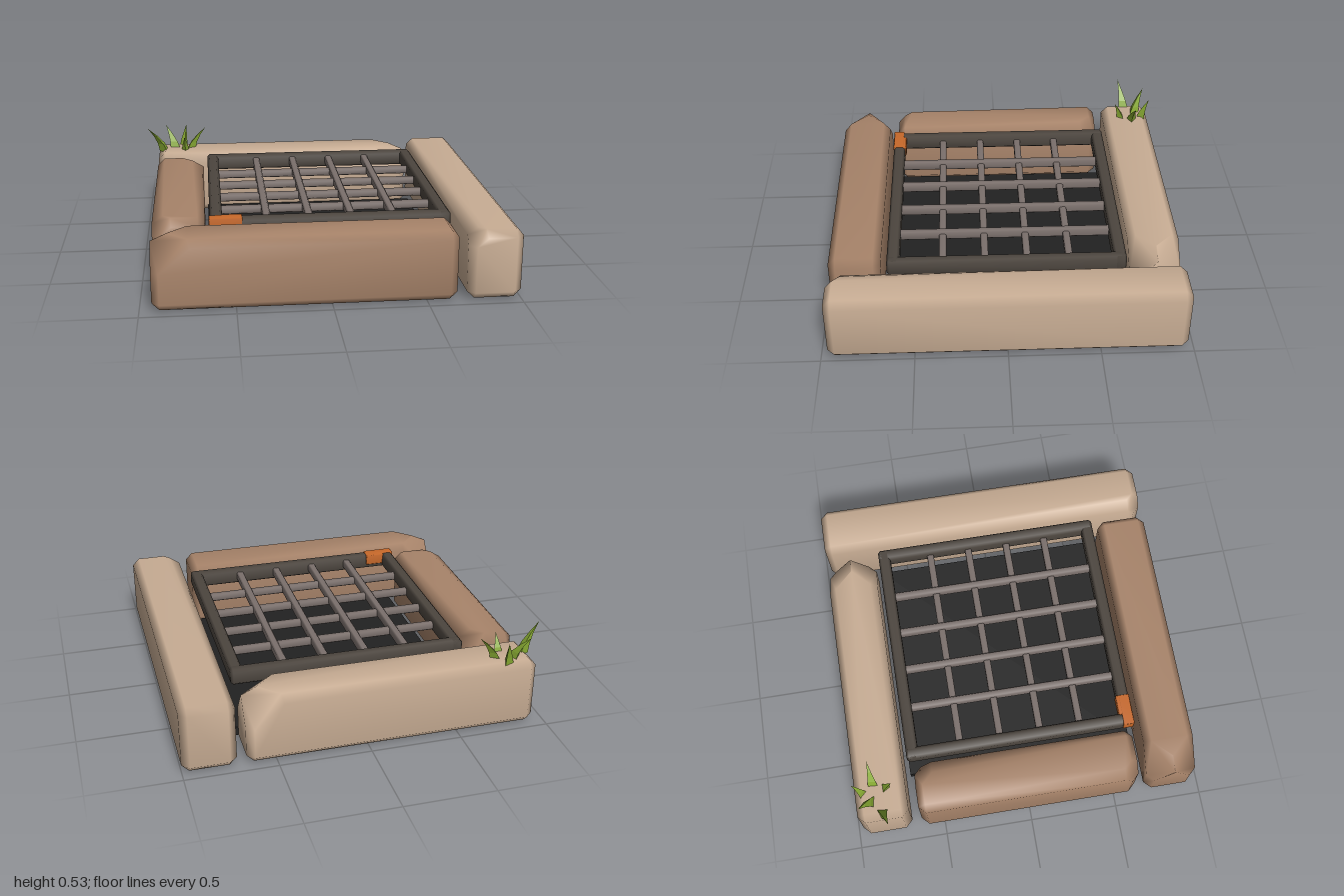
import * as THREE from 'three';
import { mergeVertices } from 'three/addons/utils/BufferGeometryUtils.js';
import { ConvexGeometry } from 'three/addons/geometries/ConvexGeometry.js';

const mat = (name, color) => new THREE.MeshStandardMaterial({ name, color });

// Bevelled block between two corners; chips maps a top corner "sx,sz" to a chip size 0..1
function block(name, material, [x0, y0, z0], [x1, y1, z1], b, chips = {}) {
  const pts = [];
  for (const sx of [-1, 1]) for (const sy of [-1, 1]) for (const sz of [-1, 1]) {
    const add = (ix, iy, iz) => pts.push(new THREE.Vector3(
      sx > 0 ? x1 - ix : x0 + ix, sy > 0 ? y1 - iy : y0 + iy, sz > 0 ? z1 - iz : z0 + iz));
    const s = sy > 0 ? chips[`${sx},${sz}`] || 0 : 0;
    if (s) {
      add(b, b + 0.135 * s, 0); add(b + 0.16 * s, b, 0);
      add(b + 0.05 * s, 0, b + 0.105 * s); add(b + 0.15 * s, 0, b);
      add(0, b + 0.135 * s, b); add(0, b, b + 0.105 * s);
    } else {
      add(b, b, 0); add(b, 0, b); add(0, b, b);
    }
  }
  // Area-weighted normals keep the faces flat and the bevels soft
  let g = new ConvexGeometry(pts);
  g.deleteAttribute('normal');
  g = mergeVertices(g, 1e-4);
  g.computeVertexNormals();
  const mesh = new THREE.Mesh(g, material);
  mesh.name = name;
  return mesh;
}

// Three-sided blade that bends from its base to its tip
function blade(material, base, tip, radius, turn) {
  let g = new THREE.ConeGeometry(radius, 1, 3, 3);
  g.rotateY(turn);
  const p = g.attributes.position;
  for (let i = 0; i < p.count; i++) {
    const t = p.getY(i) + 0.5, bend = t ** 1.5, swell = 1 + 0.5 * t * (1 - t);
    p.setXYZ(i,
      p.getX(i) * swell + base[0] + (tip[0] - base[0]) * bend,
      base[1] + (tip[1] - base[1]) * t,
      p.getZ(i) * swell + base[2] + (tip[2] - base[2]) * bend);
  }
  g = g.toNonIndexed();
  g.computeVertexNormals();
  const mesh = new THREE.Mesh(g, material);
  mesh.name = 'grassBlade';
  return mesh;
}

export function createModel() {
  const root = new THREE.Group();
  root.name = 'stoneFramedDrain';
  const lightStone = mat('lightStone', 0xc8ad94);
  const darkStone = mat('darkStone', 0xa8846a);
  const frameMetal = mat('frameMetal', 0x4d463f);
  const barMetal = mat('barMetal', 0x7c716d);
  const pitBlack = mat('pitBlack', 0x222222);
  const rust = mat('rust', 0xc8692a);
  const grass = mat('grass', 0x86a832);
  grass.flatShading = true;

  // Four kerb stones
  const T = 0.387, B = 0.04;
  root.add(
    block('leftStone', lightStone, [0.71, 0.005, -0.97], [1, T, 0.965], B, { '-1,1': 0.35 }),
    block('backStone', lightStone, [-0.935, 0.005, -0.97], [0.66, T, -0.685], B, { '1,1': 1, '1,-1': 1 }),
    block('rightStone', darkStone, [-0.935, 0.005, -0.63], [-0.65, T, 0.625], B, { '1,-1': 0.6, '-1,1': 0.4 }),
    block('frontStone', darkStone, [-0.935, 0.005, 0.68], [0.66, T, 0.965], B, { '-1,1': 1, '-1,-1': 1 }));

  // Pit floor
  const floor = new THREE.Mesh(new THREE.BoxGeometry(1.31, 0.05, 1.31), pitBlack);
  floor.name = 'pitFloor';
  floor.position.set(0.025, 0.025, -0.005);
  root.add(floor);

  // Grate: square rim, long bars, short cross bars between them
  const grate = new THREE.Group();
  grate.name = 'grate';
  grate.position.set(0.025, 0, -0.005);
  const o = 0.65, n = 0.582, y0 = 0.305, y1 = 0.393;
  for (const s of [-1, 1]) {
    const a = Math.min(s * o, s * n), c = Math.max(s * o, s * n);
    grate.add(
      block('rimSide', frameMetal, [a, y0, -o], [c, y1, o], 0.014),
      block('rimEnd', frameMetal, [-o, y0, a], [o, y1, c], 0.014));
  }
  const lines = [-0.342, -0.112, 0.118, 0.348];
  for (const x of lines)
    grate.add(block('longBar', barMetal, [x - 0.021, 0.325, -0.59], [x + 0.021, 0.378, 0.59], 0.008));
  const stops = [-0.59, ...lines, 0.59];
  for (const z of lines)
    for (let i = 0; i < 5; i++)
      grate.add(block('crossBar', barMetal,
        [stops[i], 0.322, z - 0.02], [stops[i + 1], 0.366, z + 0.02], 0.008));
  root.add(grate);

  // Rust patch on one rim corner
  root.add(
    block('rustPatch', rust, [-0.63, 0.325, 0.585], [-0.45, 0.397, 0.648], 0.006),
    block('rustPatchInner', rust, [-0.565, 0.33, 0.57], [-0.45, 0.395, 0.62], 0.006));

  // Grass tuft
  const tuft = new THREE.Group();
  tuft.name = 'grassTuft';
  [
    [[-0.895, 0.37, -0.83], [-1, 0.53, -0.795], 0.036, 0.4],
    [[-0.825, 0.37, -0.88], [-0.89, 0.52, -0.945], 0.038, 0.9],
    [[-0.775, 0.37, -0.925], [-0.755, 0.515, -0.968], 0.03, 0.2],
    [[-0.735, 0.37, -0.86], [-0.632, 0.515, -0.87], 0.034, 1.5],
    [[-0.765, 0.37, -0.8], [-0.768, 0.48, -0.755], 0.03, 0],
  ].forEach((b) => tuft.add(blade(grass, ...b)));
  root.add(tuft);

  return root;
}
